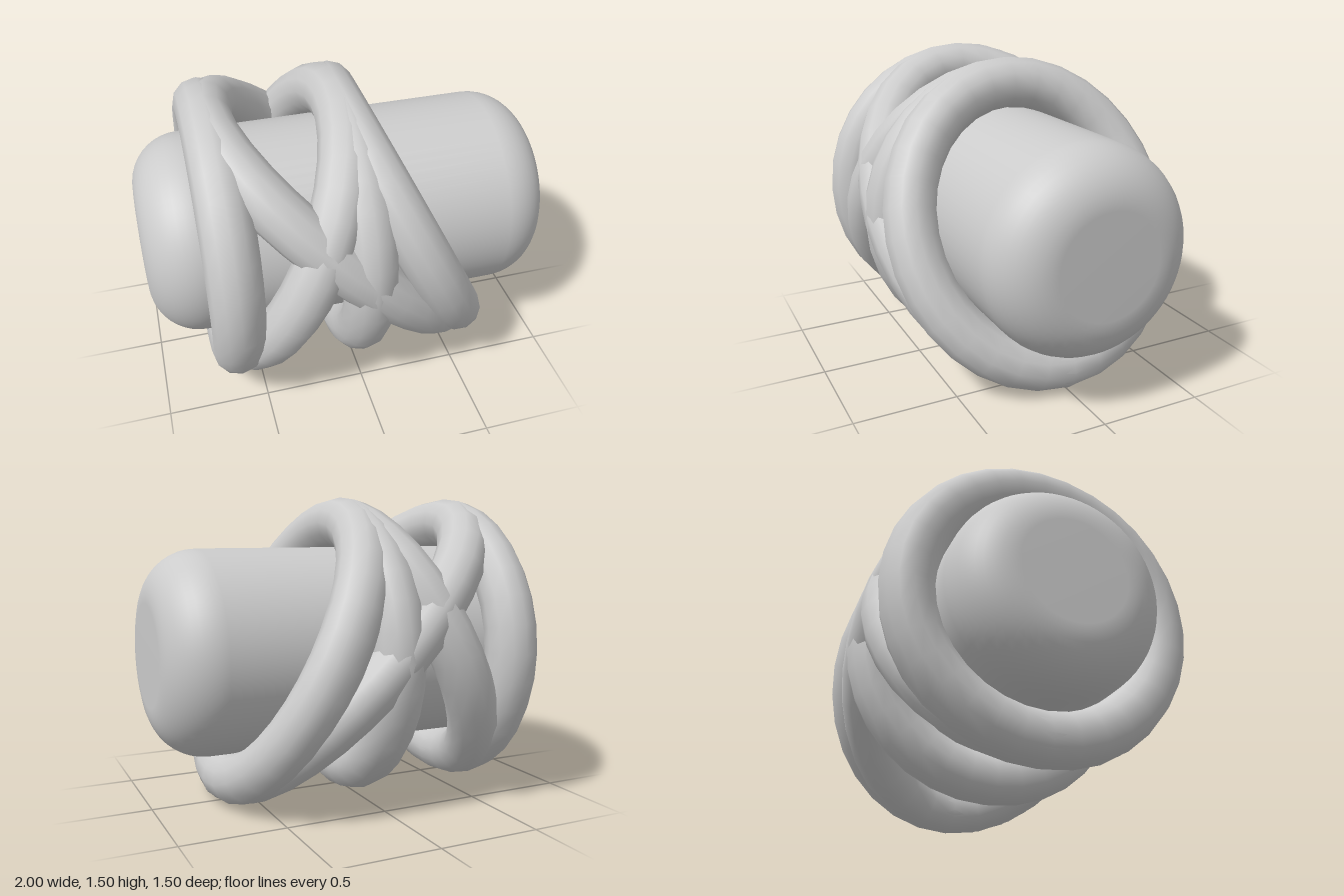
import * as THREE from 'three';

const CENTER_Y = 0.755;
const RING_RADIUS = 0.622;
const TUBE_RADIUS = 0.126;

// Closed loop around the x axis, leaning from topX at its top to bottomX at its bottom
class LeaningLoop extends THREE.Curve {
  constructor(topX, bottomX) {
    super();
    this.topX = topX;
    this.bottomX = bottomX;
  }
  getPoint(t, target = new THREE.Vector3()) {
    const a = t * Math.PI * 2;
    const c = Math.cos(a);
    const x = (this.topX + this.bottomX) / 2 + c * (this.topX - this.bottomX) / 2;
    return target.set(x, c * RING_RADIUS, Math.sin(a) * RING_RADIUS);
  }
}

export function createModel() {
  const group = new THREE.Group();
  group.name = 'wrappedCylinder';
  const material = new THREE.MeshStandardMaterial({ color: 0xcccccc });

  // Core: cylinder lying along x with rounded rims
  const half = 1, radius = 0.498, fillet = 0.25, steps = 10;
  const profile = [new THREE.Vector2(0, -half)];
  for (const end of [-1, 1]) {
    for (let i = 0; i <= steps; i++) {
      const a = (end < 0 ? i / steps - 1 : i / steps) * Math.PI / 2;
      profile.push(new THREE.Vector2(
        radius - fillet + Math.cos(a) * fillet,
        end * (half - fillet) + Math.sin(a) * fillet));
    }
  }
  profile.push(new THREE.Vector2(0, half));
  const core = new THREE.Mesh(new THREE.LatheGeometry(profile, 64), material);
  core.name = 'core';
  core.rotation.z = -Math.PI / 2;
  core.position.y = CENTER_Y;
  group.add(core);

  // Rings: [name, x at the top, x at the bottom]
  const rings = [
    ['endRing', -0.622, -0.622],
    ['middleRing', 0, 0],
    ['leftLeaningRing', 0, 0.622],
    ['rightLeaningRing', 0, -0.622],
    ['diagonalRing', -0.622, 0.622],
  ];
  for (const [name, topX, bottomX] of rings) {
    const loop = new LeaningLoop(topX, bottomX);
    const ring = new THREE.Mesh(new THREE.TubeGeometry(loop, 32, TUBE_RADIUS, 12, true), material);
    ring.name = name;
    ring.position.y = CENTER_Y;
    group.add(ring);
  }
  return group;
}
